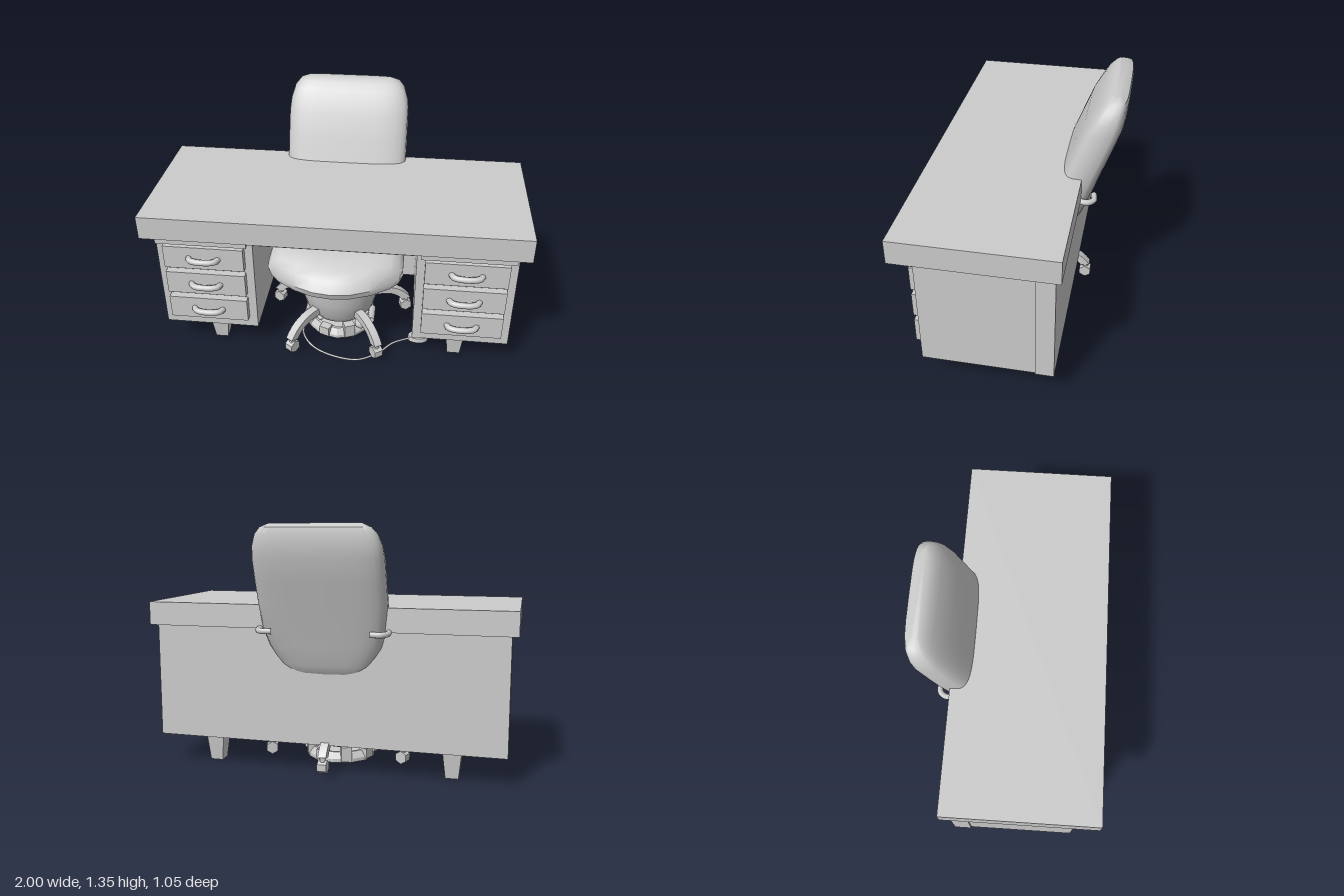
import * as THREE from 'three';
import { toCreasedNormals } from 'three/addons/utils/BufferGeometryUtils.js';

const material = new THREE.MeshStandardMaterial({ color: 0xcccccc });
const CHAIR_Z = 0.07;

function add(parent, name, geometry, x = 0, y = 0, z = 0) {
  const mesh = new THREE.Mesh(geometry, material);
  mesh.name = name;
  mesh.position.set(x, y, z);
  parent.add(mesh);
  return mesh;
}

// Box given by its limits on each axis
function block(parent, name, x0, x1, y0, y1, z0, z1) {
  return add(parent, name, new THREE.BoxGeometry(x1 - x0, y1 - y0, z1 - z0),
    (x0 + x1) / 2, (y0 + y1) / 2, (z0 + z1) / 2);
}

function tube(parent, name, points, radius, segments = 20) {
  const curve = new THREE.CatmullRomCurve3(points.map(p => new THREE.Vector3(...p)));
  return add(parent, name, new THREE.TubeGeometry(curve, segments, radius, 8));
}

// Closed skin through rings of equal point count, capped at both ends
function loft(rings, crease) {
  const n = rings[0].length, pts = rings.flat(), index = [];
  for (let r = 0; r < rings.length - 1; r++) {
    for (let i = 0; i < n; i++) {
      const a = r * n + i, b = r * n + (i + 1) % n;
      index.push(a, b, a + n, b, b + n, a + n);
    }
  }
  const last = (rings.length - 1) * n;
  for (let i = 1; i < n - 1; i++) {
    index.push(0, i + 1, i, last, last + i, last + i + 1);
  }
  // Turn faces outward when the enclosed volume is negative
  const v = pts.map(p => new THREE.Vector3(...p));
  let volume = 0;
  for (let i = 0; i < index.length; i += 3) {
    volume += v[index[i]].dot(v[index[i + 1]].clone().cross(v[index[i + 2]]));
  }
  if (volume < 0) index.reverse();
  const geometry = new THREE.BufferGeometry();
  geometry.setAttribute('position', new THREE.Float32BufferAttribute(pts.flat(), 3));
  geometry.setIndex(index);
  return toCreasedNormals(geometry, crease);
}

function createDesk() {
  const desk = new THREE.Group();
  desk.name = 'desk';
  block(desk, 'desktop', -1, 1, 0.79, 0.918, -0.325, 0.49);
  block(desk, 'backPanel', -0.965, 0.965, 0.16, 0.79, -0.295, -0.2);
  block(desk, 'apron', -0.435, 0.435, 0.71, 0.79, 0.34, 0.378);

  for (const side of [-1, 1]) {
    const pedestal = new THREE.Group();
    pedestal.name = side > 0 ? 'leftPedestal' : 'rightPedestal';
    desk.add(pedestal);
    const cx = side * 0.695;
    block(pedestal, 'cabinet', cx - 0.262, cx + 0.262, 0.16, 0.79, -0.2, 0.38);
    block(pedestal, 'pullOutBoard', cx - 0.243, cx + 0.243, 0.733, 0.765, 0.38, 0.443);

    for (const y of [0.298, 0.467, 0.634]) {
      block(pedestal, 'drawerFront', cx - 0.217, cx + 0.217, y - 0.068, y + 0.068, 0.38, 0.42);
      const handle = tube(pedestal, 'drawerHandle', [
        [-0.08, 0, 0.415], [-0.07, 0, 0.438], [-0.04, 0, 0.452],
        [0.04, 0, 0.452], [0.07, 0, 0.438], [0.08, 0, 0.415]], 0.017);
      handle.position.set(cx, y, 0);
    }

    // Square tapered feet
    for (const z of [-0.165, 0.268]) {
      const foot = new THREE.CylinderGeometry(0.074, 0.05, 0.16, 4).toNonIndexed();
      foot.rotateY(Math.PI / 4);
      foot.computeVertexNormals();
      add(pedestal, 'foot', foot, side * 0.675, 0.08, z);
    }
  }
  return desk;
}

function createBackrest() {
  // Each row: height, front z, back z, half width
  const rows = [
    [0.50, -0.09, -0.25, 0.18], [0.53, -0.07, -0.285, 0.21], [0.60, -0.09, -0.318, 0.26],
    [0.70, -0.13, -0.35, 0.31], [0.80, -0.17, -0.385, 0.335], [0.92, -0.215, -0.425, 0.343],
    [1.05, -0.265, -0.472, 0.343], [1.17, -0.312, -0.512, 0.342], [1.23, -0.345, -0.522, 0.335],
    [1.29, -0.38, -0.526, 0.315], [1.325, -0.41, -0.522, 0.285], [1.345, -0.44, -0.49, 0.24]];
  const n = 28;
  const soft = t => Math.sign(t) * Math.abs(t) ** 0.5;
  return loft(rows.map(([y, front, back, w]) => Array.from({ length: n }, (_, i) => {
    const a = (i / n) * Math.PI * 2;
    return [w * soft(Math.cos(a)), y, (front + back) / 2 + (front - back) / 2 * soft(Math.sin(a))];
  })), 0.8);
}

function createSeat() {
  // Side profile as z, y; it thins and draws back towards the sides
  const profile = [[-0.16, 0.5], [-0.18, 0.57], [-0.14, 0.63], [0.08, 0.655], [0.33, 0.65],
    [0.44, 0.615], [0.485, 0.585], [0.525, 0.53], [0.51, 0.492], [0.38, 0.482], [0.05, 0.465]];
  const stations = [[-0.365, 0.3], [-0.345, 0.8], [-0.3, 0.98], [-0.2, 1], [-0.1, 1],
    [0, 1], [0.1, 1], [0.2, 1], [0.3, 0.98], [0.345, 0.8], [0.365, 0.3]];
  return loft(stations.map(([x, thick]) => profile.map(([z, y]) => [
    x,
    0.56 + (y - 0.56) * thick,
    z > 0.15 ? 0.15 + (z - 0.15) * (1 - 3.7 * x * x) : z])), 0.8);
}

function createCasterLeg() {
  const leg = new THREE.Group();
  leg.name = 'casterLeg';
  const shape = new THREE.Shape();
  shape.moveTo(0.17, 0.21);
  shape.lineTo(0.26, 0.21);
  shape.quadraticCurveTo(0.37, 0.2, 0.43, 0.11);
  shape.lineTo(0.38, 0.1);
  shape.quadraticCurveTo(0.34, 0.16, 0.26, 0.165);
  shape.lineTo(0.17, 0.165);
  const arm = new THREE.ExtrudeGeometry(shape, { depth: 0.046, bevelEnabled: false, curveSegments: 6 });
  add(leg, 'arm', toCreasedNormals(arm, 0.6), 0, 0, -0.023);
  add(leg, 'casterStem', new THREE.CylinderGeometry(0.018, 0.018, 0.05, 8), 0.405, 0.09, 0);
  const wheel = toCreasedNormals(new THREE.CylinderGeometry(0.037, 0.037, 0.05, 6), 0.3);
  add(leg, 'casterWheel', wheel, 0.405, 0.055, 0).rotation.x = Math.PI / 2;
  return leg;
}

function createChair() {
  const chair = new THREE.Group();
  chair.name = 'chair';
  add(chair, 'backrest', createBackrest());
  add(chair, 'seat', createSeat());

  // Round body under the seat
  const body = [[0, 0.065], [0.1, 0.075], [0.165, 0.11], [0.2, 0.16], [0.225, 0.26],
    [0.243, 0.36], [0.25, 0.48], [0, 0.48]].map(p => new THREE.Vector2(...p));
  add(chair, 'seatBody', toCreasedNormals(new THREE.LatheGeometry(body, 32), 0.7), 0, 0, CHAIR_Z);

  // Brackets gripping the backrest and struts below the seat
  for (const s of [-1, 1]) {
    tube(chair, 'backrestBracket', [[s * 0.325, 0.795, -0.28], [s * 0.347, 0.793, -0.31],
      [s * 0.347, 0.787, -0.36], [s * 0.32, 0.785, -0.388], [s * 0.265, 0.785, -0.385]], 0.016);
    tube(chair, 'seatStrut', [[s * 0.32, 0.5, 0.08], [s * 0.285, 0.4, 0.09], [s * 0.235, 0.28, 0.1]], 0.007);
    tube(chair, 'strutHook', [[s * 0.22, 0.28, 0.12], [s * 0.245, 0.3, 0.12], [s * 0.255, 0.33, 0.12]], 0.006);
  }

  for (let i = 0; i < 5; i++) {
    const leg = createCasterLeg();
    leg.position.z = CHAIR_Z;
    leg.rotation.y = Math.PI / 2 + i * Math.PI * 2 / 5;
    chair.add(leg);
  }
  return chair;
}

// Floor unit under the chair, with its cable and pedal
function createFloorUnit() {
  const unit = new THREE.Group();
  unit.name = 'floorUnit';
  const rim = [[0.155, 0.01], [0.195, 0.01], [0.195, 0.03], [0.17, 0.065], [0.155, 0.065], [0.155, 0.01]]
    .map(p => new THREE.Vector2(...p));
  add(unit, 'rim', toCreasedNormals(new THREE.LatheGeometry(rim, 12), 0.3), 0, 0, CHAIR_Z);
  add(unit, 'basePlate', new THREE.CylinderGeometry(0.16, 0.16, 0.015, 24), 0, 0.028, CHAIR_Z);
  for (let i = 0; i < 8; i++) {
    const a = (i + 0.5) * Math.PI / 4;
    const lug = block(unit, 'lug', -0.025, 0.025, 0.02, i % 2 ? 0.1 : 0.075, -0.03, 0.03);
    lug.position.x = 0.175 * Math.cos(a);
    lug.position.z = CHAIR_Z + 0.175 * Math.sin(a);
    lug.rotation.y = -a;
  }
  for (const s of [-1, 1]) {
    const bar = new THREE.CylinderGeometry(0.02, 0.02, 0.12, 8);
    add(unit, 'sideBar', bar, s * 0.19, 0.06, CHAIR_Z + 0.01).rotation.x = Math.PI / 2;
  }
  for (const [x, y, r] of [[0.135, 0.1, 0.035], [-0.15, 0.12, 0.018], [-0.1, 0.12, 0.018]]) {
    add(unit, 'knob', new THREE.SphereGeometry(r, 12, 8), x, y, 0.215);
  }
  tube(unit, 'cable', [[-0.19, 0.02, 0.12], [-0.2, 0.018, 0.24], [-0.13, 0.014, 0.35], [0, 0.014, 0.42],
    [0.14, 0.015, 0.435], [0.25, 0.018, 0.37], [0.33, 0.02, 0.28], [0.43, 0.024, 0.23]], 0.006, 40);
  const pedal = new THREE.CylinderGeometry(0.055, 0.06, 0.028, 16);
  pedal.scale(1, 1, 0.65);
  add(unit, 'pedal', pedal, 0.47, 0.026, 0.22);
  return unit;
}

export function createModel() {
  const model = new THREE.Group();
  model.name = 'deskWithChair';
  model.add(createDesk(), createChair(), createFloorUnit());
  return model;
}
